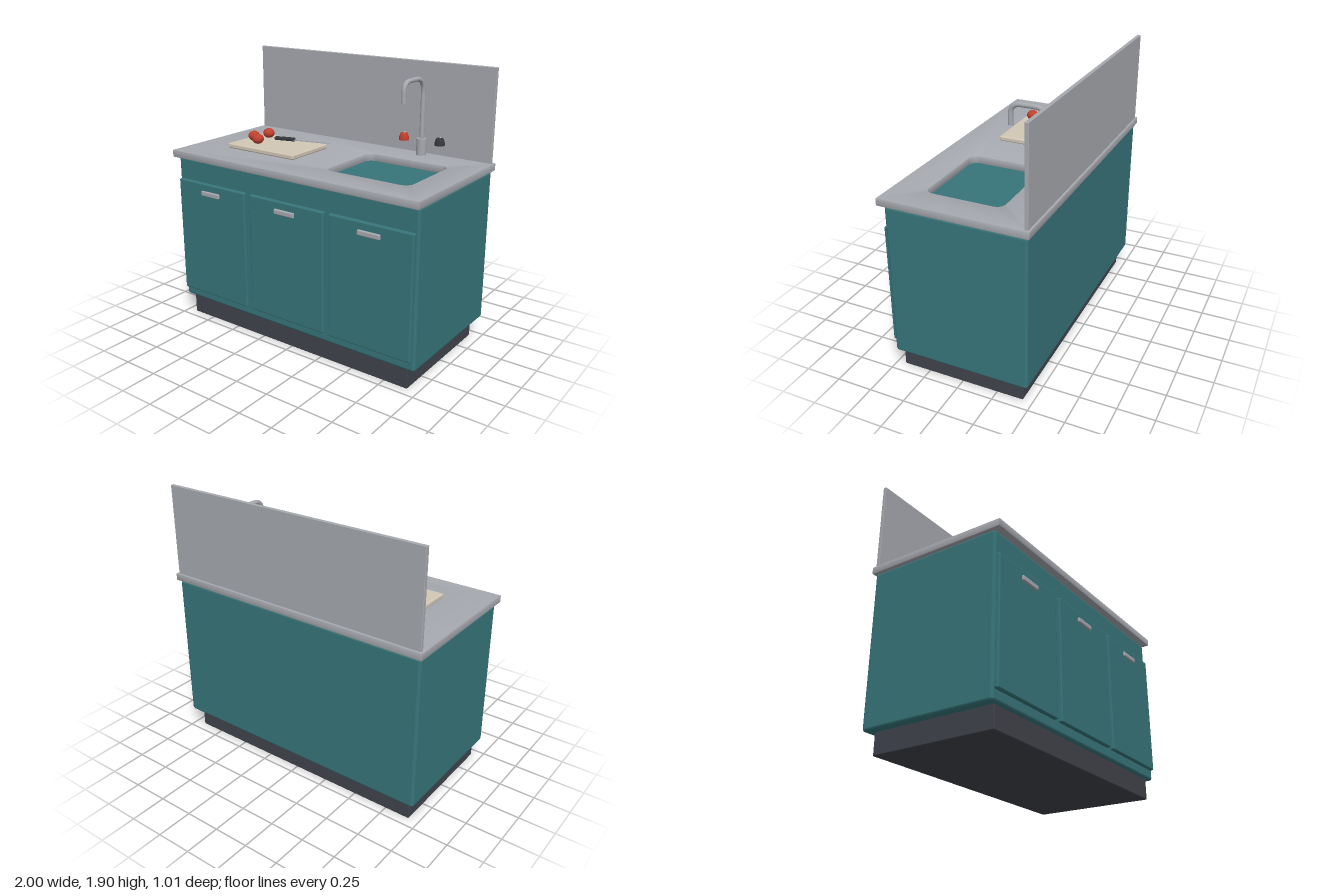
import * as THREE from 'three';
import { toCreasedNormals } from 'three/addons/utils/BufferGeometryUtils.js';
import { RoundedBoxGeometry } from 'three/addons/geometries/RoundedBoxGeometry.js';

const paint = (name, color) => {
  const m = new THREE.MeshStandardMaterial({ color });
  m.name = name;
  return m;
};

export function createModel() {
  const root = new THREE.Group();
  root.name = 'kitchenUnit';

  const teal = paint('teal', 0x37757a);
  const steel = paint('steel', 0xa6a9af);
  const charcoal = paint('charcoal', 0x40434b);
  const red = paint('red', 0xc0402f);
  const wood = paint('paleWood', 0xd2c7b6);
  const black = paint('black', 0x36383c);
  const white = paint('white', 0xe8e8e8);

  const add = (name, geometry, material, x = 0, y = 0, z = 0, parent = root) => {
    const mesh = new THREE.Mesh(geometry, material);
    mesh.name = name;
    mesh.position.set(x, y, z);
    parent.add(mesh);
    return mesh;
  };
  // Rounded box given by its limits on each axis
  const box = (name, material, [x0, x1], [y0, y1], [z0, z1], r, parent) =>
    add(name, new RoundedBoxGeometry(x1 - x0, y1 - y0, z1 - z0, 3, r), material,
      (x0 + x1) / 2, (y0 + y1) / 2, (z0 + z1) / 2, parent);

  // Carcass
  box('plinth', charcoal, [-0.93, 0.925], [0, 0.15], [-0.435, 0.44], 0.008);
  box('cabinet', teal, [-0.985, 0.985], [0.145, 1.217], [-0.49, 0.465], 0.02);

  // Doors and handles
  for (const x of [-0.661, 0, 0.656]) {
    box('door', teal, [x - 0.308, x + 0.308], [0.215, 1.06], [0.455, 0.491], 0.01);
    box('handle', steel, [x - 0.083, x + 0.083], [0.974, 1.01], [0.487, 0.506], 0.008);
  }

  // Worktop with a rounded sink opening
  const top = new THREE.Shape();
  top.moveTo(-1, -0.507).lineTo(1, -0.507).lineTo(1, 0.507).lineTo(-1, 0.507).closePath();
  const [l, r, b, f, c] = [0.178, 0.798, -0.238, 0.284, 0.055];
  const hole = new THREE.Path();
  hole.moveTo(l + c, b);
  hole.absarc(r - c, b + c, c, -Math.PI / 2, 0);
  hole.absarc(r - c, f - c, c, 0, Math.PI / 2);
  hole.absarc(l + c, f - c, c, Math.PI / 2, Math.PI);
  hole.absarc(l + c, b + c, c, Math.PI, Math.PI * 1.5);
  top.holes.push(hole);
  const bevel = 0.006;
  const slab = new THREE.ExtrudeGeometry(top, {
    depth: 0.053 - 2 * bevel, bevelThickness: bevel, bevelSize: bevel,
    bevelOffset: -bevel, bevelSegments: 2, curveSegments: 8,
  }).rotateX(Math.PI / 2);
  add('worktop', toCreasedNormals(slab, 0.6), steel, 0, 1.27 - bevel, 0);

  box('backsplash', steel, [-0.985, 0.985], [1.265, 1.905], [-0.494, -0.469], 0.004);

  // Tap
  const tap = new THREE.Group();
  tap.name = 'tap';
  tap.position.set(0.49, 0, -0.41);
  root.add(tap);
  add('tapBase', new THREE.CylinderGeometry(0.035, 0.035, 0.117, 32), steel, 0, 1.3265, 0, tap);
  const v = (y, z) => new THREE.Vector3(0, y, z);
  const path = new THREE.CurvePath();
  path.add(new THREE.LineCurve3(v(1.38, 0), v(1.69, 0)));
  path.add(new THREE.CubicBezierCurve3(v(1.69, 0), v(1.77, 0), v(1.805, 0.035), v(1.805, 0.11)));
  path.add(new THREE.LineCurve3(v(1.805, 0.11), v(1.805, 0.185)));
  path.add(new THREE.CubicBezierCurve3(v(1.805, 0.185), v(1.805, 0.235), v(1.785, 0.258), v(1.735, 0.258)));
  path.add(new THREE.LineCurve3(v(1.735, 0.258), v(1.667, 0.258)));
  add('spout', new THREE.TubeGeometry(path, 72, 0.016, 16), steel, 0, 0, 0, tap);
  add('spoutEnd', new THREE.CircleGeometry(0.016, 16).rotateX(Math.PI / 2), steel, 0, 1.667, 0.258, tap);

  // Hot and cold knobs with pointer marks
  const knobProfile = [[0, 0], [0.035, 0], [0.035, 0.018], [0.026, 0.046], [0.021, 0.051], [0, 0.051]]
    .map(([x, y]) => new THREE.Vector2(x, y));
  for (const [name, material, x] of [['hotKnob', red, 0.35], ['coldKnob', black, 0.63]]) {
    const knob = toCreasedNormals(new THREE.LatheGeometry(knobProfile, 28), 0.5);
    add(name, knob, material, x, 1.356, -0.41);
    add('knobMark', new THREE.BoxGeometry(0.006, 0.003, 0.024), white, x, 1.408, -0.42);
  }

  // Chopping board and tomatoes
  box('choppingBoard', wood, [-0.72, -0.13], [1.27, 1.305], [-0.158, 0.236], 0.01);
  for (const [x, z] of [[-0.566, -0.033], [-0.595, 0.095], [-0.51, 0.15]]) {
    add('tomato', new THREE.SphereGeometry(0.041, 28, 18), red, x, 1.349, z).scale.y = 0.86;
  }

  // Knife lying across the board
  const knife = new THREE.Group();
  knife.name = 'knife';
  knife.position.set(-0.505, 1.321, -0.032);
  knife.rotation.y = 0.27;
  root.add(knife);
  box('knifeHandle', black, [0, 0.155], [-0.012, 0.012], [-0.015, 0.015], 0.006, knife);
  const blade = new THREE.Shape();
  blade.moveTo(0.15, -0.017).lineTo(0.4, -0.019).lineTo(0.436, 0.004)
    .lineTo(0.4, 0.018).lineTo(0.15, 0.015).closePath();
  add('knifeBlade', new THREE.ExtrudeGeometry(blade, { depth: 0.006, bevelEnabled: false })
    .rotateX(Math.PI / 2), steel, 0, 0.001, 0, knife);

  return root;
}
